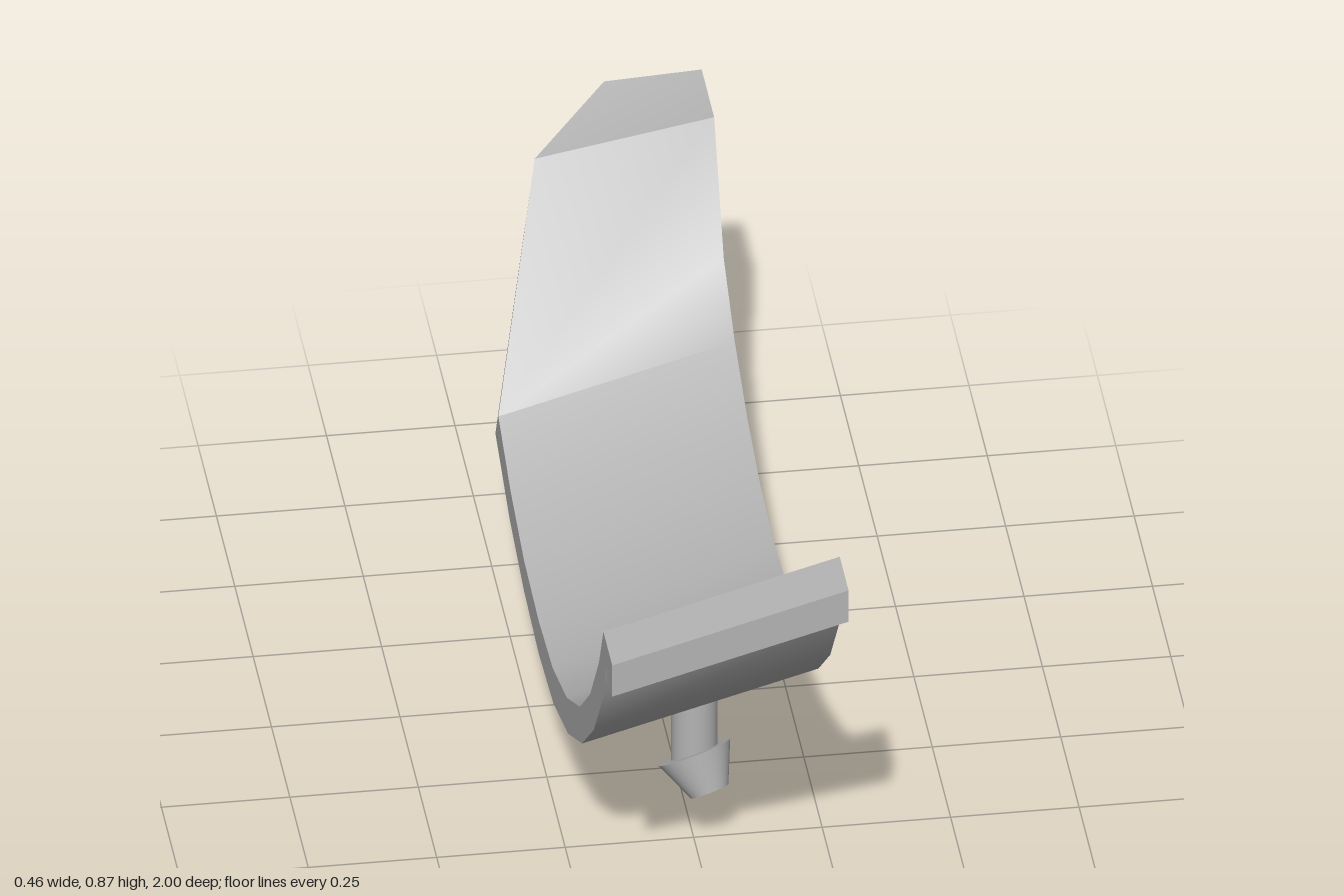
import * as THREE from 'three';
import { toCreasedNormals } from 'three/addons/utils/BufferGeometryUtils.js';

const HALF = 0.23; // half width of the strip
const DROP = 0.13; // the left edge of each section sits this much lower

// Regular sections: [z top, y top, z bottom, y bottom] along the +x edge
const PROFILE = [
  [1, 0.87, 1, 0.798], [0.88, 0.87, 0.915, 0.81], [0.82, 0.76, 0.88, 0.72],
  [0.7, 0.61, 0.75, 0.56], [0.56, 0.49, 0.59, 0.425], [0.38, 0.395, 0.4, 0.325],
  [0.19, 0.34, 0.2, 0.265], [0, 0.325, 0, 0.25], [-0.2, 0.335, -0.2, 0.265],
  [-0.38, 0.375, -0.4, 0.305], [-0.55, 0.44, -0.59, 0.375],
];

// Loft four-cornered sections, ordered top -x, top +x, bottom +x, bottom -x
function loft(sections) {
  const pos = [];
  const same = (p, q) => p.every((v, i) => v === q[i]);
  const tri = (a, b, c) => {
    if (!same(a, b) && !same(b, c) && !same(a, c)) pos.push(...a, ...b, ...c);
  };
  for (let i = 0; i < sections.length - 1; i++) {
    for (let k = 0; k < 4; k++) {
      const n = (k + 1) % 4, s = sections[i], t = sections[i + 1];
      tri(s[k], s[n], t[n]);
      tri(s[k], t[n], t[k]);
    }
  }
  const f = sections[0], e = sections[sections.length - 1];
  tri(f[0], f[3], f[2]); tri(f[0], f[2], f[1]);
  tri(e[0], e[1], e[2]); tri(e[0], e[2], e[3]);
  const g = new THREE.BufferGeometry();
  g.setAttribute('position', new THREE.Float32BufferAttribute(pos, 3));
  return toCreasedNormals(g, 0.6);
}

export function createModel() {
  const group = new THREE.Group();
  const grey = new THREE.MeshStandardMaterial({ color: 0xb4b4b4 });
  grey.name = 'grey plastic';

  // Curved strip with a front lip
  const sections = PROFILE.map(([zt, yt, zb, yb]) => [
    [-HALF, yt - DROP, zt], [HALF, yt, zt], [HALF, yb, zb], [-HALF, yb - DROP, zb],
  ]);
  // Rear wall and lip, with the -x corner cut away
  const last = sections[sections.length - 1];
  sections.push(
    [last[0], [HALF, 0.535, -0.7], [HALF, 0.485, -0.75], last[3]],
    [[-0.12, 0.715, -0.825], [HALF, 0.775, -0.83], [HALF, 0.715, -0.86], [-0.115, 0.67, -0.866]],
    [[0.04, 0.765, -1], [HALF, 0.775, -1], [HALF, 0.71, -1], [0.03, 0.705, -1]],
  );
  const strip = new THREE.Mesh(loft(sections), grey);
  strip.name = 'curvedStrip';
  group.add(strip);

  // Clip pegs: upright stem with a tapered head square to the strip
  function addPeg(name, rim, tip, top) {
    const peg = new THREE.Group();
    peg.name = name;
    const base = rim.y - 0.035;
    const stem = new THREE.Mesh(new THREE.CylinderGeometry(0.045, 0.045, top - base, 32), grey);
    stem.name = 'stem';
    stem.position.set(0, (top + base) / 2, rim.z);
    const axis = rim.clone().sub(tip);
    const head = new THREE.Mesh(new THREE.CylinderGeometry(0.074, 0.039, axis.length(), 32), grey);
    head.name = 'head';
    head.position.copy(rim).add(tip).multiplyScalar(0.5);
    head.quaternion.setFromUnitVectors(new THREE.Vector3(0, 1, 0), axis.normalize());
    peg.add(stem, head);
    group.add(peg);
  }
  addPeg('frontPeg', new THREE.Vector3(0, 0.203, 0.51), new THREE.Vector3(0.024, 0.135, 0.548), 0.355);
  addPeg('rearPeg', new THREE.Vector3(0, 0.088, -0.178), new THREE.Vector3(0.024, 0.012, -0.186), 0.225);

  return group;
}
